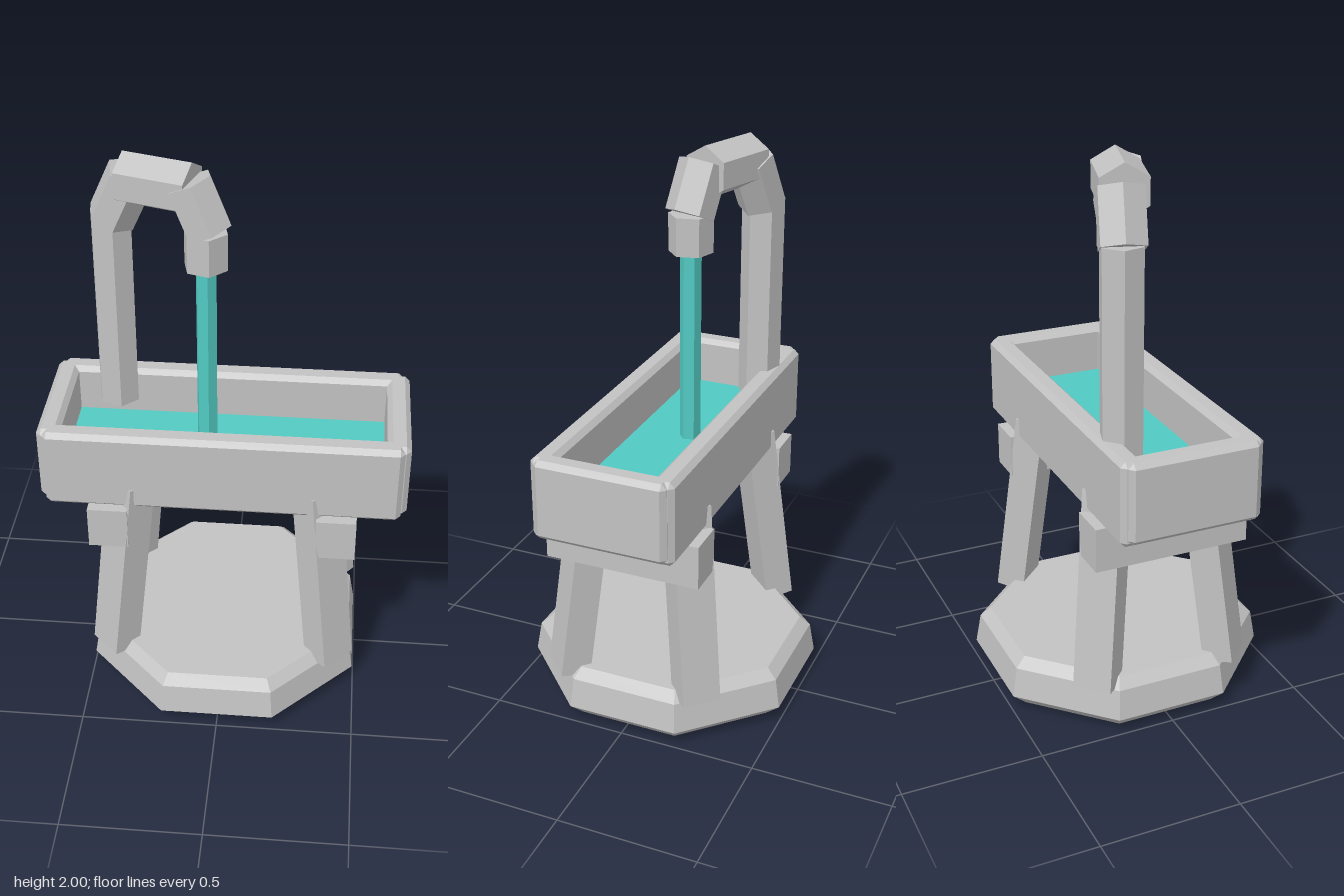
import * as THREE from 'three';
import { ConvexGeometry } from 'three/addons/geometries/ConvexGeometry.js';

const stone = new THREE.MeshStandardMaterial({ color: 0xc2c2c2, flatShading: true });
stone.name = 'grey stone';
const teal = new THREE.MeshStandardMaterial({ color: 0x52cac2, flatShading: true });
teal.name = 'teal water';

function add(parent, name, geometry, material, x = 0, y = 0, z = 0) {
  const mesh = new THREE.Mesh(geometry, material);
  mesh.name = name;
  mesh.position.set(x, y, z);
  parent.add(mesh);
  return mesh;
}

// Box with every edge cut off by a chamfer c
function chamferBox(w, h, d, c) {
  const points = [];
  for (const sx of [-1, 1]) for (const sy of [-1, 1]) for (const sz of [-1, 1]) {
    for (let axis = 0; axis < 3; axis++) {
      const cut = [c, c, c];
      cut[axis] = 0;
      points.push(new THREE.Vector3(
        sx * (w / 2 - cut[0]), sy * (h / 2 - cut[1]), sz * (d / 2 - cut[2])));
    }
  }
  return new ConvexGeometry(points);
}

// Six-sided rod with a corner pointing along x
const hexRod = (r, h) => new THREE.CylinderGeometry(r, r, h, 6, 1, false, Math.PI / 6);

export function createModel() {
  const model = new THREE.Group();
  model.name = 'waterTrough';

  // Octagonal foot: [flat-to-centre distance, height]
  const profile = [[0, 0], [0.44, 0], [0.495, 0.055], [0.477, 0.165], [0.44, 0.2], [0, 0.2]]
    .map(([a, y]) => new THREE.Vector2(a / Math.cos(Math.PI / 8), y));
  add(model, 'base', new THREE.LatheGeometry(profile, 8, Math.PI / 8), stone);

  // Splayed legs turned to the diagonals, with a crossbar over each pair
  const legGeometry = new THREE.BoxGeometry(0.14, 0.73, 0.11).translate(0, 0.365, 0);
  for (const sx of [-1, 1]) {
    for (const sz of [-1, 1]) {
      const leg = add(model, 'leg', legGeometry, stone, sx * 0.402, 0.165, sz * 0.25);
      leg.rotation.order = 'YXZ';
      leg.rotation.y = Math.atan2(sx, sz);
      leg.rotation.x = -0.14;
    }
    add(model, 'crossbar', new THREE.BoxGeometry(0.142, 0.16, 0.568), stone, sx * 0.404, 0.738, 0);
  }

  // Trough walls, floor and water
  for (const s of [-1, 1]) {
    add(model, 'longWall', chamferBox(1.29, 0.302, 0.082, 0.018).scale(0.97, 1, 1), stone, 0, 0.964, s * 0.216);
    add(model, 'endWall', chamferBox(0.082, 0.29, 0.475, 0.018), stone, s * 0.606, 0.97, 0);
  }
  add(model, 'floor', new THREE.BoxGeometry(1.16, 0.07, 0.38), stone, 0, 0.885, 0);
  add(model, 'water', new THREE.BoxGeometry(1.14, 0.01, 0.38), teal, 0, 0.935, 0);

  // Spout: upright, three bend pieces, outlet and falling stream
  const spout = new THREE.Group();
  spout.name = 'spout';
  model.add(spout);
  const pieces = [
    // name, radius, length, x, y, z, lean
    ['pipe', 0.077, 0.75, -0.415, 1.385, -0.165, 0],
    ['lowerBend', 0.086, 0.19, -0.372, 1.83, -0.147, -0.44],
    ['topBend', 0.093, 0.25, -0.24, 1.907, -0.093, Math.PI / 2],
    ['outerBend', 0.086, 0.18, -0.098, 1.855, -0.035, 0.42],
    ['outlet', 0.079, 0.135, -0.075, 1.7075, -0.025, 0],
  ];
  for (const [name, r, h, x, y, z, lean] of pieces) {
    const piece = add(spout, name, hexRod(r, h), stone, x, y, z);
    piece.rotation.order = 'YXZ';
    piece.rotation.y = -0.3;
    piece.rotation.z = lean;
  }
  const stream = add(spout, 'stream', hexRod(0.038, 0.72), teal, -0.075, 1.295, -0.025);
  stream.rotation.y = -0.3;

  return model;
}
